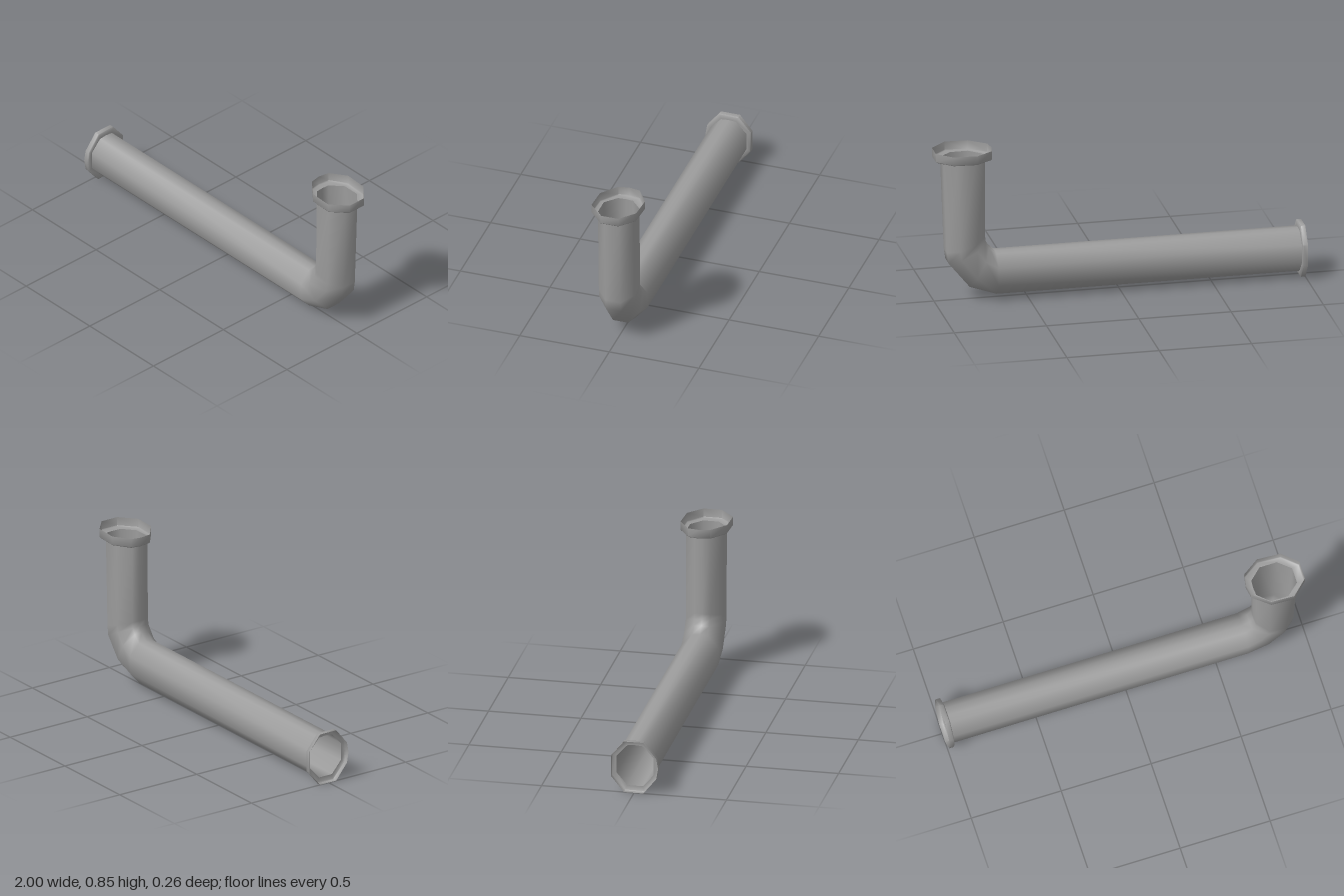
import * as THREE from 'three';
import { toCreasedNormals } from 'three/addons/utils/BufferGeometryUtils.js';

const material = new THREE.MeshStandardMaterial({ color: 0x9c9c9c, side: THREE.DoubleSide });

// Sections as [u, z]: u runs from -1 (outside of the bend) to 1 (inside)
const PIPE = [[-1, 0.042], [-0.42, 0.1], [0.42, 0.1], [0.97, 0.042], [1, 0],
  [0.97, -0.042], [0.42, -0.1], [-0.42, -0.1], [-1, -0.042]];
const END_COLLAR = [[-1, 0.05], [-0.4, 0.12], [0.01, 0.13], [0.4, 0.12], [1, 0.05],
  [1, -0.055], [0.4, -0.125], [-0.4, -0.125], [-1, -0.055]];
const TOP_COLLAR = [[-1, 0.05], [-0.45, 0.128], [0.35, 0.122], [0.93, 0.05], [1, -0.01],
  [0.93, -0.07], [0.35, -0.13], [-0.48, -0.122], [-1, -0.05]];

// Places a section between an outer and an inner point of the bend plane
function ring(section, [ox, oy], [ix, iy], scale = 1) {
  return section.map(([u, z]) => {
    const t = (u * scale + 1) / 2;
    return [ox + (ix - ox) * t, oy + (iy - oy) * t, z * scale];
  });
}

// Skins a row of rings with an open surface
function loft(rings) {
  const n = rings[0].length;
  const index = [];
  for (let i = 0; i < rings.length - 1; i++) {
    for (let j = 0; j < n; j++) {
      const a = i * n + j, b = i * n + (j + 1) % n;
      index.push(a, a + n, b, b, a + n, b + n);
    }
  }
  const geometry = new THREE.BufferGeometry();
  geometry.setAttribute('position', new THREE.Float32BufferAttribute(rings.flat(2), 3));
  geometry.setIndex(index);
  geometry.computeVertexNormals();
  return geometry;
}

export function createModel() {
  const group = new THREE.Group();
  const add = (name, geometry) => {
    const mesh = new THREE.Mesh(geometry, material);
    mesh.name = name;
    group.add(mesh);
  };

  // Pipe: long run, three-step elbow, slightly flaring riser
  const pipeRings = [
    [[-0.972, 0.03], [-0.972, 0.26]],
    [[0.67, 0.03], [0.67, 0.26]],
    [[0.815, 0.08], [0.707, 0.295]],
    [[0.929, 0.22], [0.725, 0.325]],
    [[0.938, 0.28], [0.728, 0.355]],
    [[0.958, 0.795], [0.728, 0.795]],
  ].map(([outer, inner]) => ring(PIPE, outer, inner));
  add('bentPipe', loft(pipeRings));

  // Collars: thin wall, small chamfer and a recessed floor that meets the pipe mouth
  const end = (x, scale) => ring(END_COLLAR, [x, 0], [x, 0.287], scale);
  add('endCollar', toCreasedNormals(
    loft([end(-1, 1), end(-0.976, 1), end(-0.972, 0.97), pipeRings[0]]), 0.97));

  const top = (y, scale) => ring(TOP_COLLAR, [1, y], [0.69, y], scale);
  add('topCollar', toCreasedNormals(
    loft([pipeRings.at(-1), top(0.795, 0.97), top(0.8, 1), top(0.846, 1)]), 0.97));

  return group;
}
